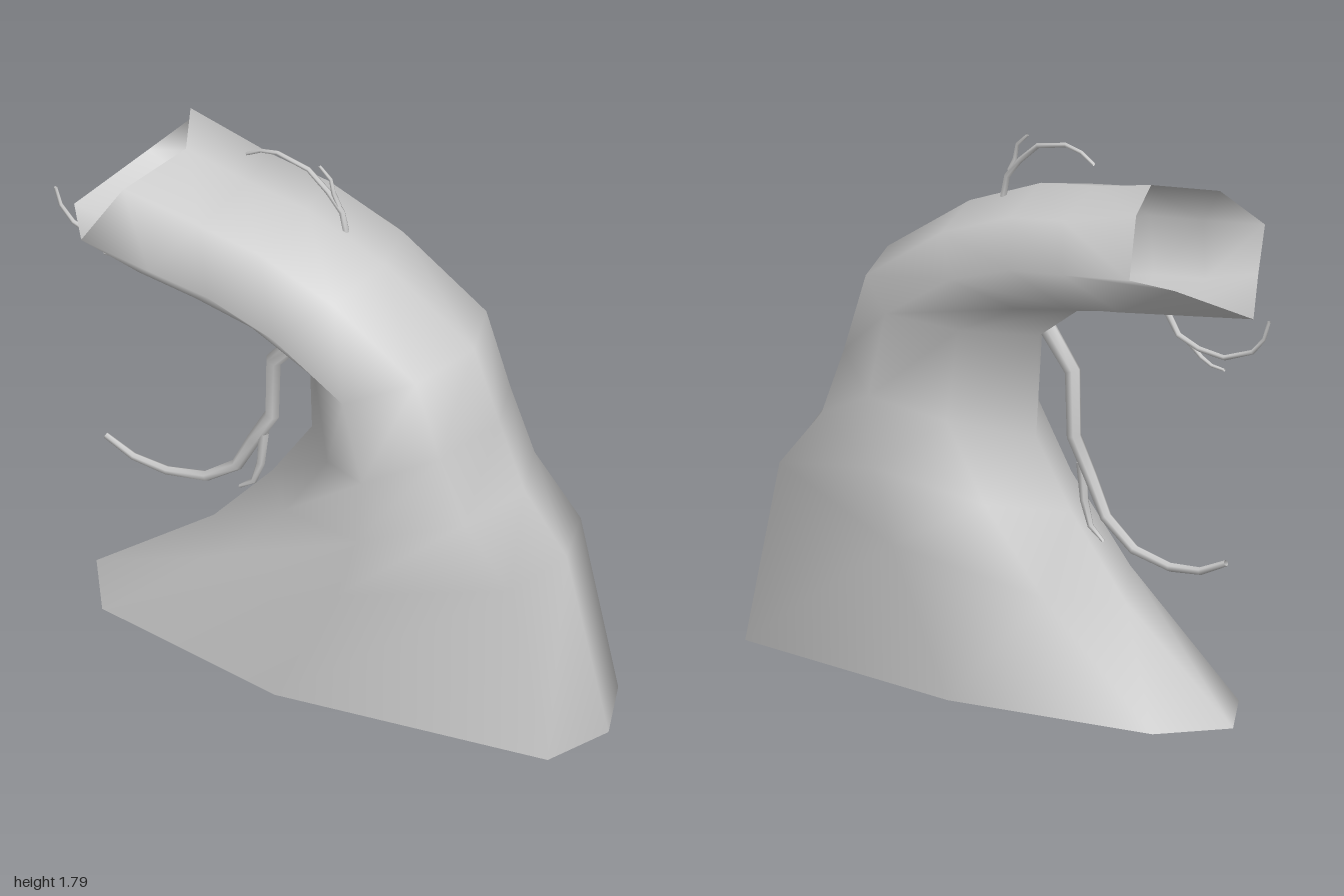
import * as THREE from 'three';

const material = new THREE.MeshStandardMaterial({ color: 0xcccccc, side: THREE.DoubleSide });

// Smooth open shell through a list of closed rings of Vector3
function shell(name, rings) {
  const n = rings[0].length;
  const index = [];
  for (let i = 0; i < rings.length - 1; i++) {
    for (let j = 0; j < n; j++) {
      const k = (j + 1) % n;
      const a = i * n + j, b = i * n + k;
      index.push(a, a + n, b, b, a + n, b + n);
    }
  }
  const geometry = new THREE.BufferGeometry().setFromPoints(rings.flat());
  geometry.setIndex(index);
  geometry.computeVertexNormals();
  const mesh = new THREE.Mesh(geometry, material);
  mesh.name = name;
  return mesh;
}

// Octagonal section between the outer and inner edge of the bent trunk
function trunkRing([ox, oy, ix, iy, outer, middle, inner]) {
  const section = [[0, 0], [outer, 0.22], [middle, 0.358], [1 - inner, 0.22],
    [1, 0], [1 - inner, -0.22], [middle, -0.358], [outer, -0.22]];
  return section.map(([t, z]) => new THREE.Vector3(
    THREE.MathUtils.lerp(ox, ix, t), THREE.MathUtils.lerp(oy, iy, t), z));
}

// Tapered twig along points in one upright plane
function twig(name, path, z, r0, r1, sides = 6) {
  const rings = path.map(([x, y], i) => {
    const [ax, ay] = path[Math.max(i - 1, 0)];
    const [bx, by] = path[Math.min(i + 1, path.length - 1)];
    const length = Math.hypot(bx - ax, by - ay);
    const nx = (by - ay) / length, ny = -(bx - ax) / length;
    const r = THREE.MathUtils.lerp(r0, r1, i / (path.length - 1));
    return Array.from({ length: sides }, (_, j) => {
      const a = (j / sides) * Math.PI * 2;
      return new THREE.Vector3(x + nx * r * Math.cos(a), y + ny * r * Math.cos(a), z + r * Math.sin(a));
    });
  });
  return shell(name, rings);
}

export function createModel() {
  const model = new THREE.Group();
  model.name = 'bentTrunk';

  // Trunk: outer x, y, inner x, y, then outer corner, middle and inner corner positions
  const sections = [
    [1.0, 0.01, -0.83, 0.0, 0.05, 0.54, 0.08],
    [0.85, 0.63, -0.41, 0.33, 0.06, 0.49, 0.12],
    [0.70, 0.83, -0.20, 0.58, 0.1, 0.44, 0.19],
    [0.61, 1.06, -0.06, 0.80, 0.13, 0.43, 0.27],
    [0.52, 1.31, -0.07, 1.13, 0.14, 0.45, 0.25],
    [0.20, 1.52, -0.22, 1.24, 0.14, 0.47, 0.17],
    [-0.08, 1.63, -0.40, 1.275, 0.14, 0.47, 0.15],
    [-0.29, 1.66, -0.60, 1.30, 0.14, 0.48, 0.15],
  ];
  const rings = sections.map(trunkRing);
  // The ground edge lifts a little towards front and back
  rings[0].forEach((p) => { p.y = Math.max(p.y, 0.02 * (p.z / 0.358) ** 2); });
  // Uneven rim of the open cut end
  rings.push([
    [-0.51, 1.705, 0], [-0.61, 1.65, 0.22], [-0.68, 1.52, 0.358], [-0.76, 1.41, 0.22],
    [-0.91, 1.345, 0], [-0.77, 1.465, -0.22], [-0.70, 1.52, -0.358], [-0.62, 1.68, -0.22],
  ].map((p) => new THREE.Vector3(...p)));
  model.add(shell('trunk', rings));

  // Large branch hanging under the bend
  model.add(twig('lowerBranch', [[-0.075, 1.16], [-0.18, 1.03], [-0.185, 0.82], [-0.25, 0.70],
    [-0.31, 0.58], [-0.42, 0.495], [-0.56, 0.465], [-0.68, 0.475], [-0.78, 0.52]], 0.03, 0.029, 0.01));
  model.add(twig('lowerBranchFork', [[-0.215, 0.74], [-0.225, 0.62], [-0.25, 0.54], [-0.30, 0.50]],
    0.03, 0.018, 0.006));

  // Twig on top
  model.add(twig('topTwig', [[0.045, 1.57], [0.03, 1.64], [-0.02, 1.70], [-0.09, 1.76],
    [-0.20, 1.783], [-0.26, 1.77], [-0.31, 1.74]], -0.03, 0.011, 0.006));
  model.add(twig('topTwigFork', [[0.02, 1.66], [0.0, 1.70], [-0.01, 1.75], [-0.05, 1.787]],
    -0.03, 0.009, 0.005));

  // Twig below the cut end
  model.add(twig('endTwig', [[-0.60, 1.31], [-0.64, 1.25], [-0.72, 1.22], [-0.82, 1.21],
    [-0.93, 1.25], [-0.975, 1.30], [-0.994, 1.36]], -0.03, 0.011, 0.006));
  model.add(twig('endTwigFork', [[-0.68, 1.235], [-0.73, 1.195], [-0.77, 1.175], [-0.82, 1.17]],
    -0.03, 0.009, 0.005));

  return model;
}
